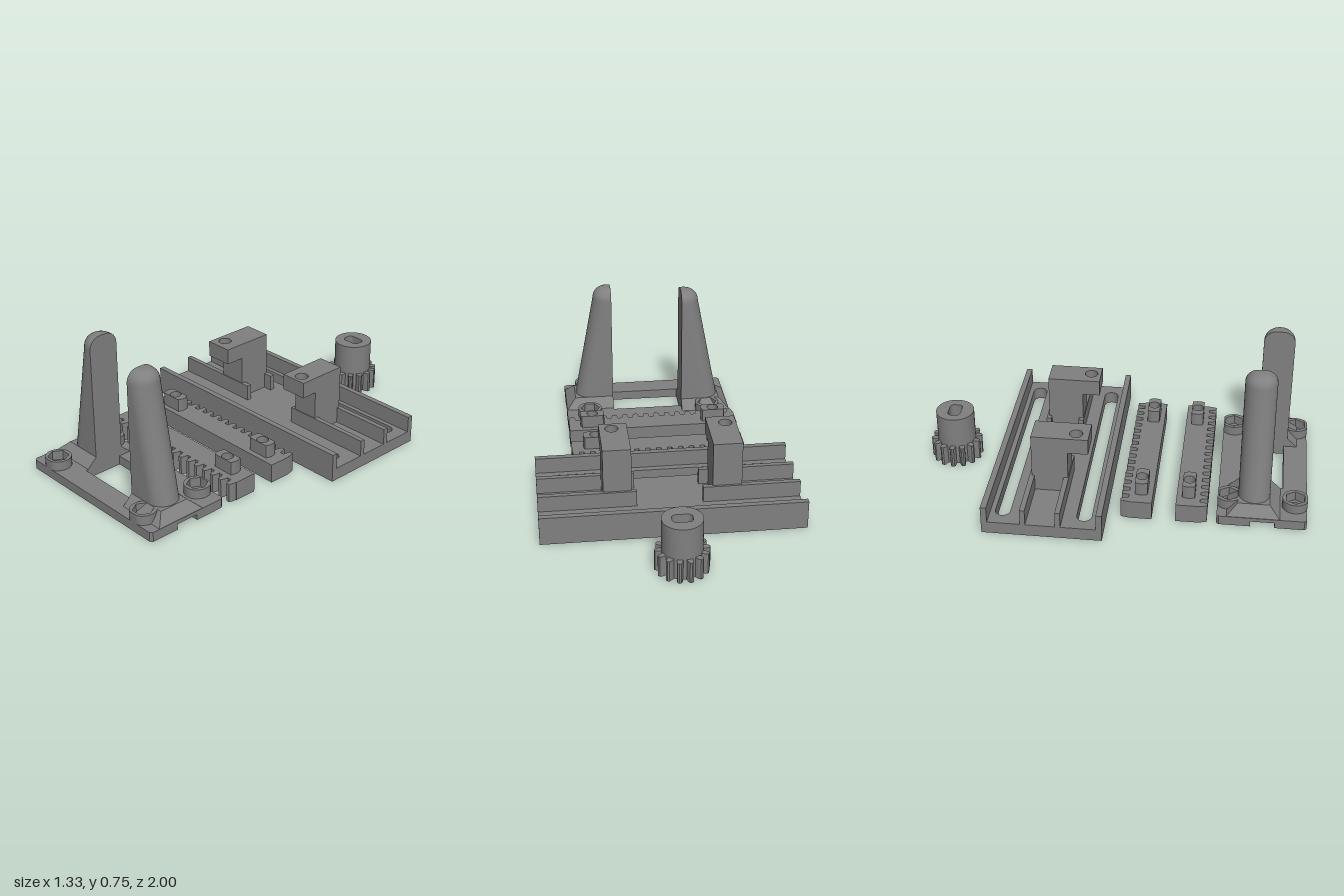
import * as THREE from 'three';
import { toCreasedNormals } from 'three/addons/utils/BufferGeometryUtils.js';

const material = new THREE.MeshStandardMaterial({ color: 0x808080 });

function addMesh(parent, name, geometry) {
  const mesh = new THREE.Mesh(toCreasedNormals(geometry, 0.6), material);
  mesh.name = name;
  parent.add(mesh);
  return mesh;
}

function box(parent, name, x0, x1, y0, y1, z0, z1) {
  const g = new THREE.BoxGeometry(x1 - x0, y1 - y0, z1 - z0);
  g.translate((x0 + x1) / 2, (y0 + y1) / 2, (z0 + z1) / 2);
  return addMesh(parent, name, g);
}

// Outlines are lists of [x, z]; a slab is an outline with holes, raised from y0 to y1
const rect = (x0, x1, z0, z1) => [[x0, z0], [x1, z0], [x1, z1], [x0, z1]];
const circle = (x, z, r, n = 32) => Array.from({ length: n }, (_, i) => {
  const a = (i / n) * Math.PI * 2;
  return [x + r * Math.cos(a), z + r * Math.sin(a)];
});
// Rectangle with round corners; a slot when r is half its depth
function roundRect(x, z, w, d, r) {
  const pts = [];
  [[1, 1], [-1, 1], [-1, -1], [1, -1]].forEach(([sx, sz], q) => {
    for (let i = 0; i <= 8; i++) {
      const a = (q + i / 8) * Math.PI / 2;
      pts.push([x + sx * (w / 2 - r) + r * Math.cos(a), z + sz * (d / 2 - r) + r * Math.sin(a)]);
    }
  });
  return pts;
}
function slab(parent, name, outline, holes, y0, y1) {
  const toVec = (pts) => pts.map(([x, z]) => new THREE.Vector2(x, -z));
  const shape = new THREE.Shape(toVec(outline));
  // Holes wind opposite to the outline so their walls face inward
  shape.holes = holes.map((h) => new THREE.Path(toVec(h).reverse()));
  const g = new THREE.ExtrudeGeometry(shape, { depth: y1 - y0, bevelEnabled: false });
  g.rotateX(-Math.PI / 2).translate(0, y0, 0);
  return addMesh(parent, name, g);
}

// Skin over convex rings of [x, y, z], counterclockwise from above, bottom to top
function loft(parent, name, rings) {
  const n = rings[0].length, pos = [];
  const tri = (a, b, c) => pos.push(...a, ...b, ...c);
  for (let i = 0; i < rings.length - 1; i++) {
    for (let j = 0; j < n; j++) {
      const k = (j + 1) % n, lo = rings[i], hi = rings[i + 1];
      tri(lo[j], lo[k], hi[j]);
      tri(lo[k], hi[k], hi[j]);
    }
  }
  const bottom = rings[0], top = rings[rings.length - 1];
  for (let j = 1; j < n - 1; j++) {
    tri(top[0], top[j], top[j + 1]);
    tri(bottom[0], bottom[j + 1], bottom[j]);
  }
  const g = new THREE.BufferGeometry();
  g.setAttribute('position', new THREE.Float32BufferAttribute(pos, 3));
  g.computeVertexNormals();
  return addMesh(parent, name, g);
}
// Ring drawn for the +x side, mirrored for the other
const orient = (side, ring) => (side > 0 ? ring : ring.map(([x, y, z]) => [-x, y, z]).reverse());
const rectRing = (side, y, x0, x1, z0, z1) =>
  orient(side, [[x0, y, z1], [x1, y, z1], [x1, y, z0], [x0, y, z0]]);

// Pinion with a flat-sided shaft hole
function makePinion() {
  const group = new THREE.Group();
  group.name = 'pinion';
  const outline = [], teeth = 14;
  for (let t = 0; t < teeth; t++) {
    for (const [r, a] of [[0.1, -0.14], [0.122, -0.11], [0.131, -0.07], [0.134, 0],
      [0.131, 0.07], [0.122, 0.11], [0.1, 0.14]]) {
      const angle = (t / teeth) * Math.PI * 2 + a;
      outline.push([r * Math.cos(angle), r * Math.sin(angle)]);
    }
  }
  const hole = roundRect(0, 0, 0.1, 0.066, 0.022);
  slab(group, 'pinionTeeth', outline, [hole], 0, 0.11);
  slab(group, 'pinionHub', circle(0, 0, 0.1, 48), [hole], 0.11, 0.275);
  group.position.z = -0.867;
  return group;
}

// Slotted tray with guide rails and two overhanging brackets
function makeTray() {
  const group = new THREE.Group();
  group.name = 'tray';
  const X = 0.664, floor = 0.065;
  slab(group, 'trayFloor', rect(-X, X, -0.602, 0),
    [-0.51, -0.1].map((z) => roundRect(0, z, 1.2, 0.075, 0.0374)), 0, floor);
  box(group, 'backWall', -X, X, floor, 0.15, -0.602, -0.572);
  box(group, 'frontWall', -X, X, floor, 0.15, -0.03, 0);
  for (const z of [-0.407, -0.232]) {
    box(group, 'leftRail', 0.167, X, floor, 0.15, z, z + 0.026);
    box(group, 'rightRail', -X, -0.167, floor, 0.15, z, z + 0.026);
  }
  for (const [name, x0, x1, z1, hx] of [['right', -0.365, -0.216, -0.105, -0.31],
    ['left', 0.193, 0.336, -0.12, 0.272]]) {
    box(group, name + 'BracketColumn', x0, x1, floor, 0.3, -0.395, -0.21);
    slab(group, name + 'BracketArm', rect(x0, x1, -0.395, z1), [circle(hx, -0.172, 0.034)], 0.3, 0.385);
  }
  return group;
}

// Toothed rack with counterbored holes and flat-sided bosses; teeth point along -z
function makeRack(name) {
  const group = new THREE.Group();
  group.name = name;
  const X = 0.463, front = 0.06, root = -0.06, tip = -0.098, count = 16, pitch = 0.059;
  const outline = [[X, root], [X, front], [-X, front], [-X, root]];
  for (let i = 0; i < count; i++) {
    const x = (i - (count - 1) / 2) * pitch;
    outline.push([x - 0.018, root], [x - 0.014, tip + 0.012], [x - 0.009, tip],
      [x + 0.009, tip], [x + 0.014, tip + 0.012], [x + 0.018, root]);
  }
  const holes = (r) => [-0.335, 0.335].map((x) => circle(x, 0, r));
  slab(group, 'rackBase', outline, holes(0.05), 0, 0.05);
  slab(group, 'rackTop', outline, holes(0.03), 0.05, 0.1);
  for (const x of [-0.335, 0.335]) {
    const boss = circle(x, 0, 0.066, 64).map(([px, pz]) => [px, THREE.MathUtils.clamp(pz, -0.0325, 0.0325)]);
    slab(group, 'rackBoss', boss, [circle(x, 0, 0.03)], 0.1, 0.17);
  }
  return group;
}

// Finger: flat inside, round outside, leaning inward, on a sloped pedestal
function addFinger(parent, side, cz) {
  const name = side > 0 ? 'left' : 'right', inner = 0.193, R = 0.08, crown = 0.063, top = 0.75;
  const section = (y, cx, r) => {
    const ring = [[inner, y, cz + r]];
    for (let i = 0; i <= 20; i++) {
      const a = Math.PI / 2 - (i / 20) * Math.PI;
      ring.push([cx + r * Math.cos(a), y, cz + r * Math.sin(a)]);
    }
    ring.push([inner, y, cz - r]);
    return orient(side, ring);
  };
  const rings = [section(0.08, 0.328, R)];
  for (let i = 0; i <= 10; i++) {
    const a = (i / 10) * Math.PI / 2;
    rings.push(section(top - crown * (1 - Math.sin(a)), 0.212, R - crown * (1 - Math.cos(a))));
  }
  loft(parent, name + 'Finger', rings);
  loft(parent, name + 'Pedestal', [
    rectRing(side, 0.05, inner, 0.461, cz - 0.133, cz + 0.133),
    rectRing(side, 0.1, inner, 0.41, cz - 0.08, cz + 0.08),
  ]);
}

// Gripper plate: window, ramped end notches, hex nut sockets and two fingers
function makeGripper() {
  const group = new THREE.Group();
  group.name = 'gripperPlate';
  const X = 0.463, z0 = 0.55, z1 = 1, c = 0.012, n = 0.12;
  const corners = [-0.335, 0.335].flatMap((x) => [0.605, 0.94].map((z) => [x, z]));
  const holes = [rect(-0.193, 0.193, 0.668, 0.878), ...corners.map(([x, z]) => circle(x, z, 0.03))];
  const right = [[-X, z1 - c], [-X, 0.84], [-X + n, 0.84], [-X + n, 0.72], [-X, 0.72], [-X, z0 + c]];
  const left = right.map(([x, z]) => [-x, z]).reverse();
  const notched = [...right, [-X + c, z0], [X - c, z0], ...left, [X - c, z1], [-X + c, z1]];
  const plain = notched.filter(([, z]) => z < 0.7 || z > 0.9);
  slab(group, 'plateBottom', notched, holes, 0, 0.03);
  slab(group, 'plateTop', plain, holes, 0.03, 0.05);
  for (const [x, z] of corners) {
    const boss = circle(x, z, 0.066).map(([px, pz]) => [px, THREE.MathUtils.clamp(pz, z0, z1)]);
    slab(group, 'nutSocket', boss, [circle(x, z, 0.053, 6)], 0.05, 0.1);
  }
  for (const [side, cz] of [[-1, 0.732], [1, 0.815]]) {
    addFinger(group, side, cz);
    loft(group, 'notchRamp', [
      rectRing(side, 0, X - n, X - n + 0.001, 0.72, 0.84),
      rectRing(side, 0.03, X - n, X, 0.72, 0.84),
    ]);
  }
  return group;
}

export function createModel() {
  const model = new THREE.Group();
  model.name = 'gripperKit';
  const backRack = makeRack('backRack');
  backRack.position.z = 0.166;
  const frontRack = makeRack('frontRack');
  frontRack.rotation.y = Math.PI;
  frontRack.position.z = 0.405;
  model.add(makePinion(), makeTray(), backRack, frontRack, makeGripper());
  return model;
}
